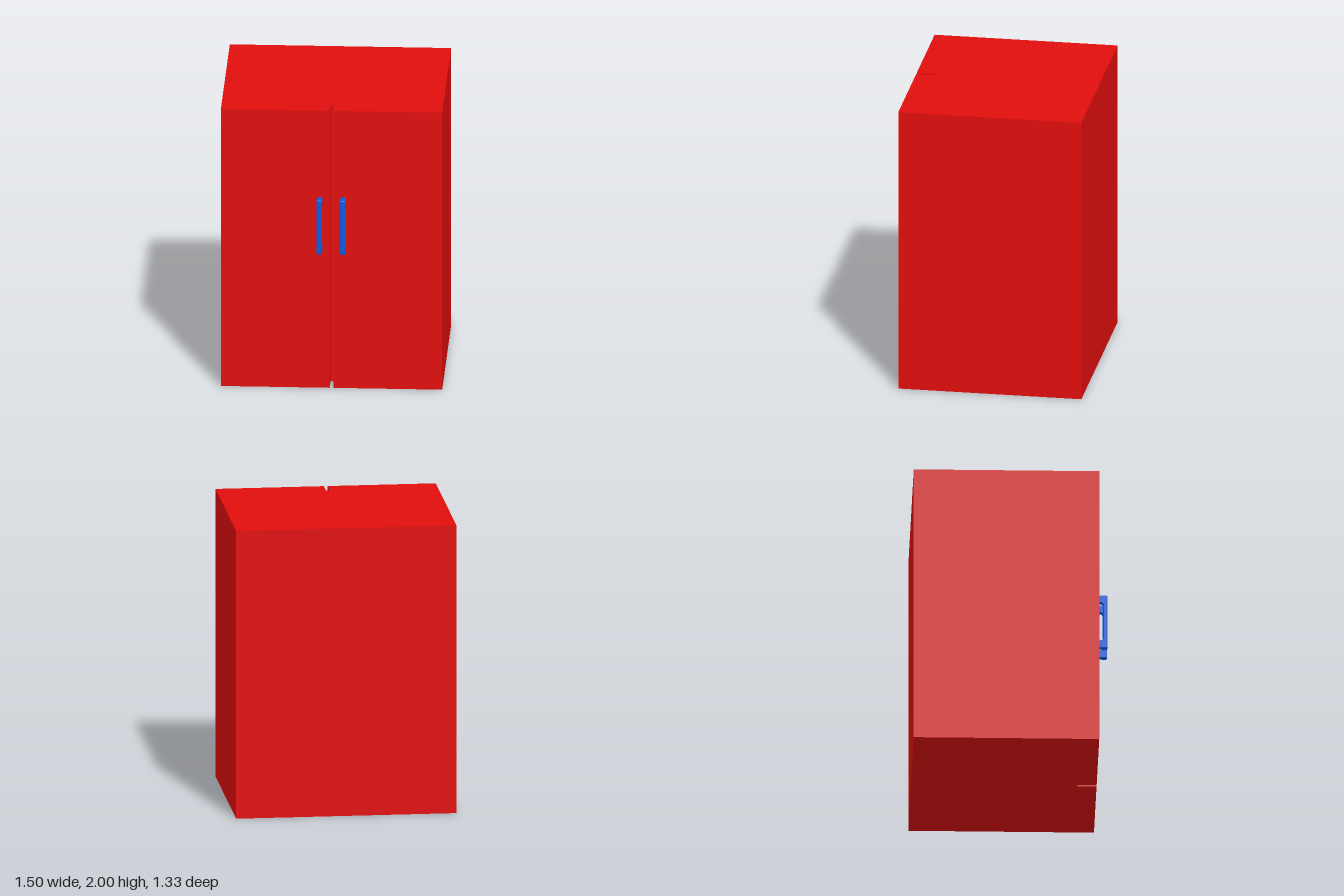
import * as THREE from 'three';

const red = new THREE.MeshStandardMaterial({ color: 0xe00d0d });
const blue = new THREE.MeshStandardMaterial({ color: 0x0d5ce0 });

const FRONT = 0.592, BACK = -0.664, HALF = 0.75, HEIGHT = 2;

// Solid cabinet with a full-height slot between the two doors
function makeCabinet() {
  const gap = 0.013, slotBack = 0.463;
  const plan = [
    [-HALF, FRONT], [-gap, FRONT], [-gap, slotBack], [gap, slotBack],
    [gap, FRONT], [HALF, FRONT], [HALF, BACK], [-HALF, BACK],
  ];
  const shape = new THREE.Shape(plan.map(([x, z]) => new THREE.Vector2(x, -z)));
  const geo = new THREE.ExtrudeGeometry(shape, { depth: HEIGHT, bevelEnabled: false });
  geo.rotateX(-Math.PI / 2);
  const mesh = new THREE.Mesh(geo, red);
  mesh.name = 'cabinetBody';
  return mesh;
}

// C-shaped pull: side profile in (z, y), extruded across its width
function makeHandle(name, x) {
  const root = FRONT - 0.012, tip = 0.664, grip = 0.633;
  const y0 = 0.985, y1 = 1.377, in0 = 1.044, in1 = 1.322;
  const r = 0.009, ri = 0.016, width = 0.037, bevel = 0.006;
  const s = new THREE.Shape();
  s.moveTo(root, y0);
  s.lineTo(tip - r, y0);
  s.quadraticCurveTo(tip, y0, tip, y0 + r);
  s.lineTo(tip, y1 - r);
  s.quadraticCurveTo(tip, y1, tip - r, y1);
  s.lineTo(root, y1);
  s.lineTo(root, in1);
  s.lineTo(grip - ri, in1);
  s.quadraticCurveTo(grip, in1, grip, in1 - ri);
  s.lineTo(grip, in0 + ri);
  s.quadraticCurveTo(grip, in0, grip - ri, in0);
  s.lineTo(root, in0);
  s.closePath();
  const geo = new THREE.ExtrudeGeometry(s, {
    depth: width - 2 * bevel, curveSegments: 5,
    bevelThickness: bevel, bevelSize: bevel, bevelOffset: -bevel, bevelSegments: 2,
  });
  geo.translate(0, 0, -(width / 2 - bevel));
  geo.rotateY(-Math.PI / 2);
  const mesh = new THREE.Mesh(geo, blue);
  mesh.name = name;
  mesh.position.x = x;
  return mesh;
}

export function createModel() {
  const group = new THREE.Group();
  group.name = 'cabinet';
  group.add(
    makeCabinet(),
    makeHandle('leftDoorHandle', 0.079),
    makeHandle('rightDoorHandle', -0.081),
  );
  return group;
}
